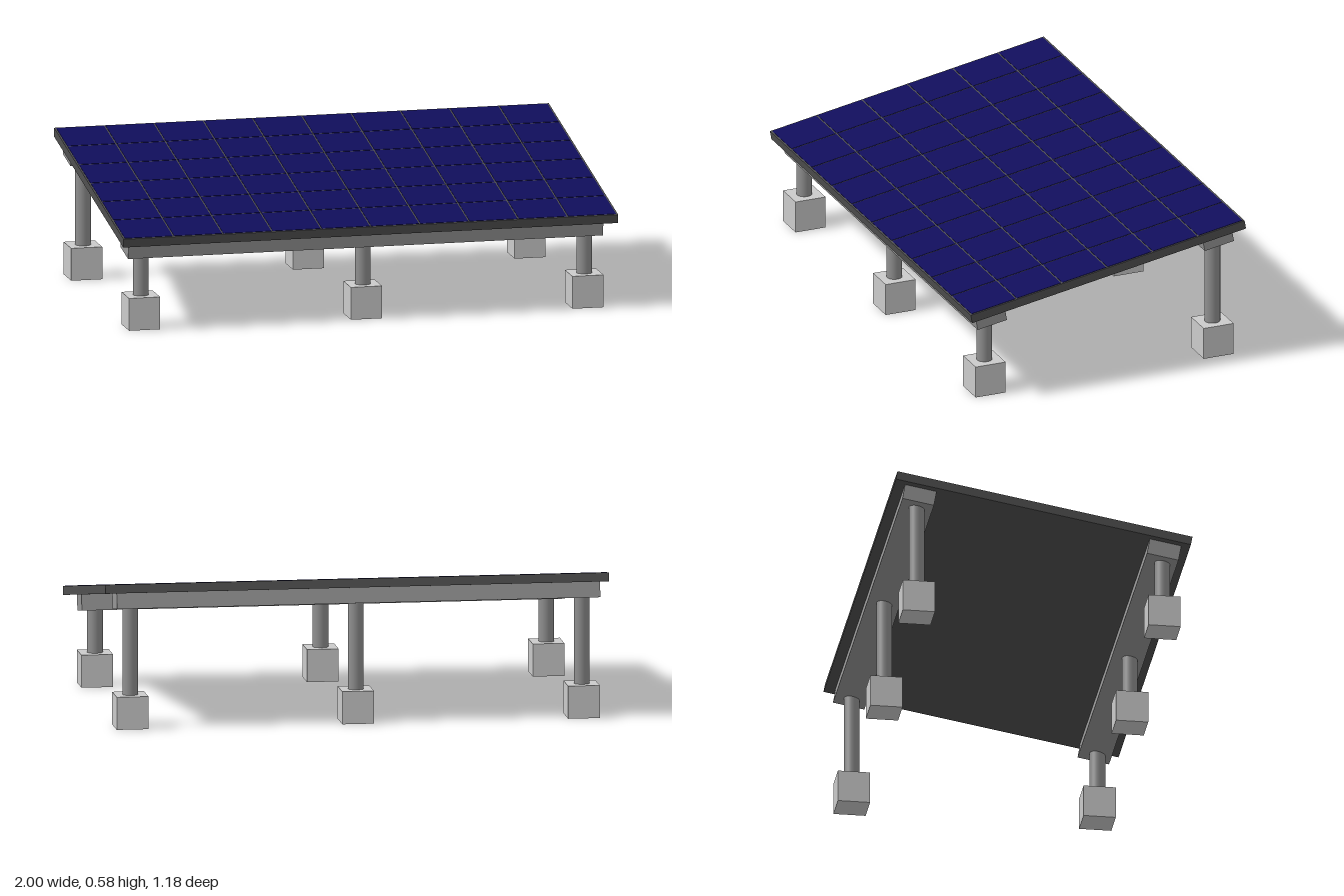
import * as THREE from 'three';

const mat = (color) => new THREE.MeshStandardMaterial({ color });

export function createModel() {
  const model = new THREE.Group();
  model.name = 'solarPanelTable';
  const concrete = mat(0xcccccc), steel = mat(0x909090), rail = mat(0x969696);
  const frame = mat(0x505050), glass = mat(0x100d5c);

  const add = (parent, name, geometry, material, x, y, z) => {
    const mesh = new THREE.Mesh(geometry, material);
    mesh.name = name;
    mesh.position.set(x, y, z);
    parent.add(mesh);
    return mesh;
  };

  // Tilted assembly: everything inside is laid out flat, then leaned 10 degrees
  const panel = new THREE.Group();
  panel.name = 'tiltedPanel';
  panel.position.y = 0.464;
  panel.rotation.x = THREE.MathUtils.degToRad(10);
  model.add(panel);

  const width = 2, depth = 1.19, thick = 0.035;
  add(panel, 'panelFrame', new THREE.BoxGeometry(width, thick, depth), frame, 0, 0, 0);

  // Grid of cells, with the frame showing through the narrow gaps
  const cols = 10, rows = 6, gap = 0.006, border = 0.004;
  const stepX = (width - 2 * border) / cols, stepZ = (depth - 2 * border) / rows;
  const cell = new THREE.BoxGeometry(stepX - gap, 0.004, stepZ - gap);
  const cells = new THREE.Group();
  cells.name = 'solarCells';
  panel.add(cells);
  for (let i = 0; i < cols; i++) {
    for (let j = 0; j < rows; j++) {
      add(cells, 'solarCell', cell, glass,
        (i - (cols - 1) / 2) * stepX, thick / 2 - 0.0005, (j - (rows - 1) / 2) * stepZ);
    }
  }

  // Long support beams under the front and back edges
  const beam = new THREE.BoxGeometry(1.92, 0.064, 0.127);
  add(panel, 'frontBeam', beam, rail, -0.01, -0.049, 0.497);
  add(panel, 'backBeam', beam, rail, -0.01, -0.047, -0.49);

  // Posts on concrete footings, short in front and tall behind
  const footing = new THREE.BoxGeometry(0.126, 0.13, 0.128);
  for (const [side, z, top] of [['front', 0.483, 0.33], ['back', -0.493, 0.5]]) {
    const post = new THREE.CylinderGeometry(0.031, 0.031, top - 0.12, 32);
    for (const x of [-0.905, -0.008, 0.888]) {
      add(model, side + 'Footing', footing, concrete, x, 0.065, z);
      add(model, side + 'Post', post, steel, x, (top + 0.12) / 2, z);
    }
  }
  return model;
}
